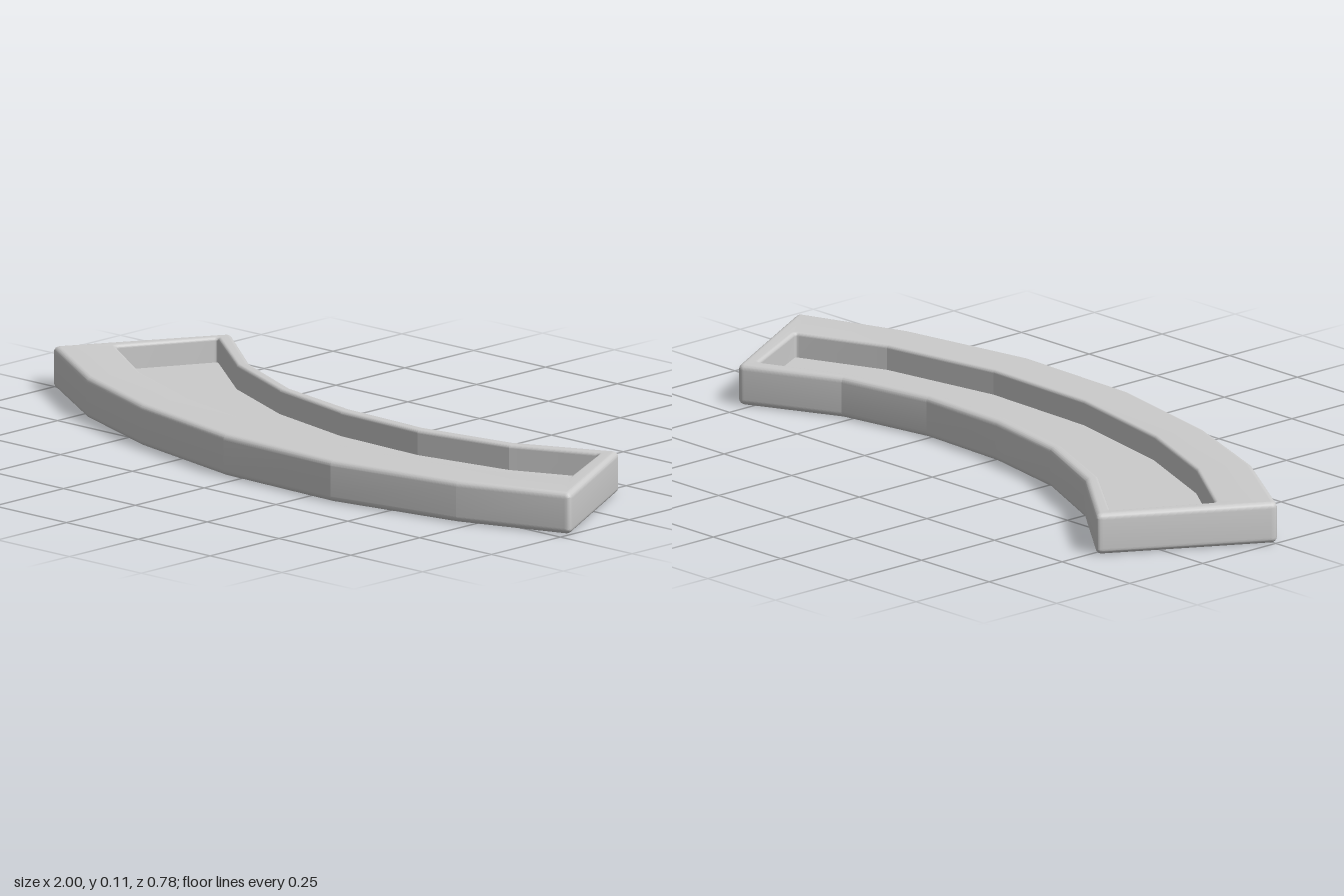
import * as THREE from 'three';
import { toCreasedNormals } from 'three/addons/utils/BufferGeometryUtils.js';

const HEIGHT = 0.107, FLOOR = 0.042, BEVEL = 0.015, RIM = 0.009, STEPS = 10;

// Plan outlines [x, z]: front edge left to right, then back edge right to left
const OUTER = [
  [-1.004, 0.004], [-0.716, 0.182], [-0.42, 0.295], [-0.053, 0.375], [0.33, 0.386], [0.706, 0.322], [1.005, 0.218],
  [0.782, -0.193], [0.524, -0.075], [0.257, -0.032], [-0.01, -0.043], [-0.267, -0.095], [-0.52, -0.21], [-0.768, -0.4],
];
const INNER = [
  [-0.891, -0.107], [-0.652, 0.05], [-0.374, 0.163], [-0.032, 0.237], [0.31, 0.247], [0.647, 0.194], [0.882, 0.098],
  [0.762, -0.139], [0.54, -0.043], [0.267, 0.004], [-0.01, -0.005], [-0.278, -0.064], [-0.535, -0.176], [-0.762, -0.345],
];

// One horizontal ring: the outline moved inward by inset, its four end corners rounded
function ring(outline, inset, y, radius) {
  const pts = outline.map(([x, z]) => new THREE.Vector2(x, z));
  const n = pts.length;
  const dir = (i) => pts[(i + 1) % n].clone().sub(pts[i]).normalize();
  const out = [];
  pts.forEach((p, i) => {
    const u = dir((i + n - 1) % n), v = dir(i);
    const a = new THREE.Vector2(u.y, -u.x), b = new THREE.Vector2(v.y, -v.x);
    const q = p.clone().addScaledVector(a.clone().add(b), inset / (1 + a.dot(b)));
    const isEnd = i % 7 === 0 || i % 7 === 6;
    const corner = isEnd
      ? new THREE.QuadraticBezierCurve(
          q.clone().addScaledVector(u, -radius), q, q.clone().addScaledVector(v, radius)).getPoints(STEPS)
      : [q];
    corner.forEach((c) => out.push([c.x, y, c.y]));
  });
  return out;
}

function geometryFrom(quads) {
  const pos = [];
  for (const [a, b, c, d] of quads) pos.push(...a, ...b, ...c, ...a, ...c, ...d);
  const g = new THREE.BufferGeometry();
  g.setAttribute('position', new THREE.Float32BufferAttribute(pos, 3));
  return toCreasedNormals(g, 0.17);
}

// Skin between consecutive rings
function loft(rings) {
  const quads = [];
  for (let r = 0; r + 1 < rings.length; r++) {
    const a = rings[r], b = rings[r + 1];
    a.forEach((p, i) => {
      const j = (i + 1) % a.length;
      quads.push([p, a[j], b[j], b[i]]);
    });
  }
  return geometryFrom(quads);
}

// Flat face spanning a ring from its front edge to its back edge
function cap(points, faceUp) {
  const quads = [], n = points.length;
  for (let i = 0; i < n / 2 - 1; i++) {
    const q = [points[i], points[i + 1], points[n - 2 - i], points[n - 1 - i]];
    quads.push(faceUp ? q : q.reverse());
  }
  return geometryFrom(quads);
}

export function createModel() {
  const group = new THREE.Group();
  group.name = 'curvedTray';
  const material = new THREE.MeshStandardMaterial({ color: 0xcccccc });
  const add = (name, geometry) => {
    const mesh = new THREE.Mesh(geometry, material);
    mesh.name = name;
    group.add(mesh);
  };

  const bottom = [], top = [], rim = [];
  for (let i = 0; i <= STEPS; i++) {
    const t = (i / STEPS) * Math.PI / 2, s = Math.sin(t), c = Math.cos(t);
    // Rounded lower and upper outside edges
    const lowInset = BEVEL * (1 - s), highInset = BEVEL * (1 - c);
    bottom.push(ring(OUTER, lowInset, BEVEL * (1 - c), Math.max(0.018 - lowInset, 0.003)));
    top.push(ring(OUTER, highInset, HEIGHT - BEVEL * (1 - s), Math.max(0.018 - highInset, 0.003)));
    // Rounded lip of the recess
    rim.push(ring(INNER, -RIM * (1 - s), HEIGHT - RIM * (1 - c), 0.01 + RIM * (1 - s)));
  }
  const floor = ring(INNER, 0, FLOOR, 0.01);

  add('outerWall', loft([...bottom, ...top]));
  add('rim', loft([top[STEPS], ...rim]));
  add('recessWall', loft([rim[STEPS], floor]));
  add('recessFloor', cap(floor, true));
  add('underside', cap(bottom[0], false));
  return group;
}
